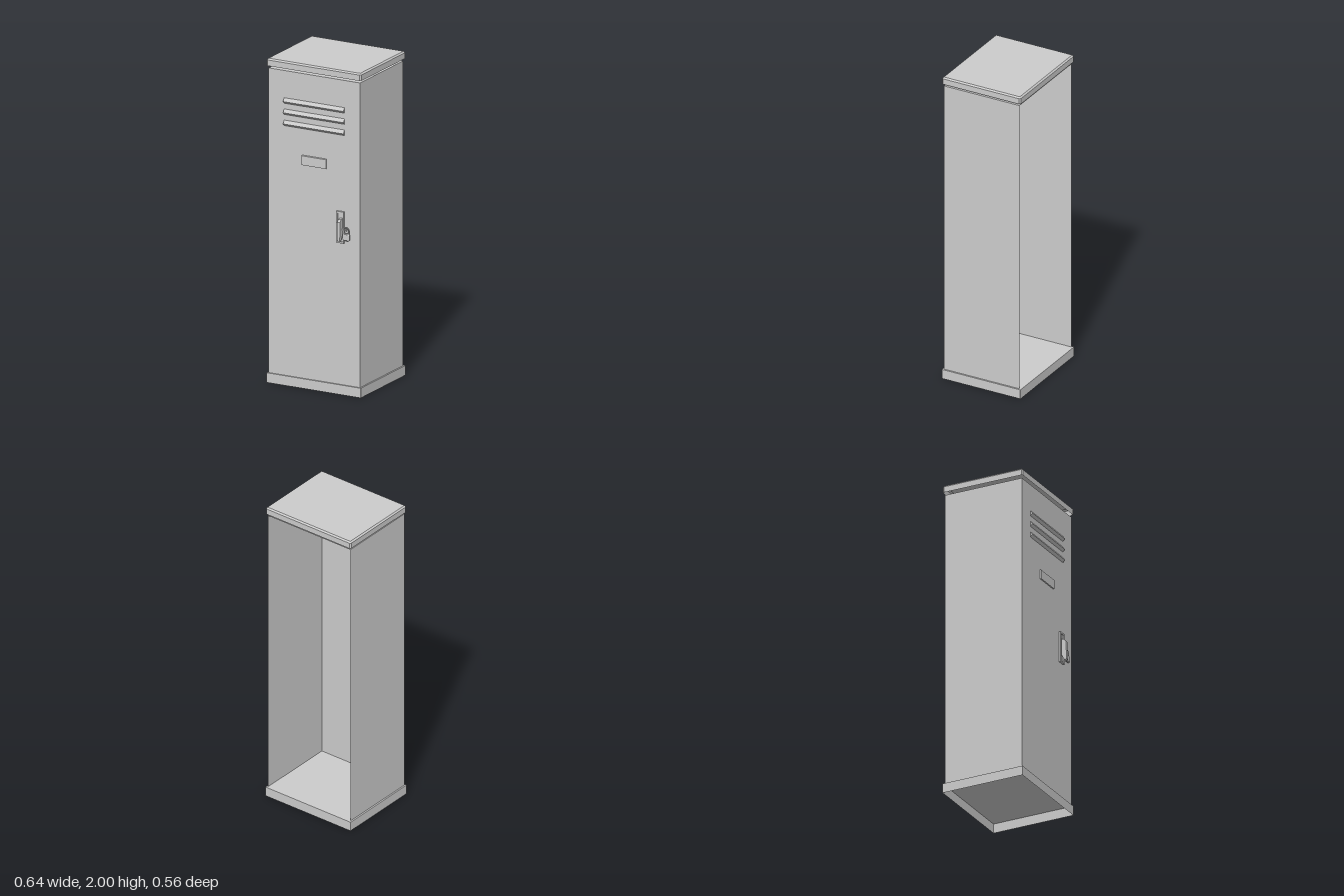
import * as THREE from 'three';

const steel = new THREE.MeshStandardMaterial({ color: 0xcccccc, side: THREE.DoubleSide });
steel.name = 'grey steel';

const FRONT = 0.242, BACK = -0.272, HALF = 0.31;
const LOUVRES = [1.738, 1.669, 1.6];

function add(group, name, geometry, x = 0, y = 0, z = 0) {
  const mesh = new THREE.Mesh(geometry, steel);
  mesh.name = name;
  mesh.position.set(x, y, z);
  group.add(mesh);
  return mesh;
}

// Flat sheet facing +z before it is turned
function sheet(group, name, w, h, x, y, z, rx = 0, ry = 0) {
  add(group, name, new THREE.PlaneGeometry(w, h), x, y, z).rotation.set(rx, ry, 0);
}

// Rectangle with cut corners, as a ring of eight points at height y
function ring(hx, hz, cut, y) {
  const a = hx - cut, b = hz - cut;
  return [[hx, -b], [a, -hz], [-a, -hz], [-hx, -b], [-hx, b], [-a, hz], [a, hz], [hx, b]]
    .map(([x, z]) => new THREE.Vector3(x, y, z));
}

// Faceted skin over stacked rings, closed at the top and optionally at the bottom
function loft(rings, closeBottom = false) {
  const pts = [];
  const n = rings[0].length;
  for (let r = 0; r + 1 < rings.length; r++) {
    for (let i = 0; i < n; i++) {
      const j = (i + 1) % n;
      const [a, b, c, d] = [rings[r][i], rings[r][j], rings[r + 1][j], rings[r + 1][i]];
      pts.push(a, b, c, a, c, d);
    }
  }
  const top = rings[rings.length - 1], bottom = rings[0];
  for (let i = 1; i < n - 1; i++) {
    pts.push(top[0], top[i], top[i + 1]);
    if (closeBottom) pts.push(bottom[0], bottom[i + 1], bottom[i]);
  }
  const g = new THREE.BufferGeometry().setFromPoints(pts);
  g.computeVertexNormals();
  return g;
}

// Side profile given as [z, y] points, extruded across x and centred on it
function across(points, width) {
  const shape = new THREE.Shape(points.map(([z, y]) => new THREE.Vector2(-z, y)));
  const g = new THREE.ExtrudeGeometry(shape, { depth: width, bevelEnabled: false });
  return g.translate(0, 0, -width / 2).rotateY(Math.PI / 2);
}

function rectPath(path, x0, y0, x1, y1) {
  path.moveTo(x0, y0).lineTo(x1, y0).lineTo(x1, y1).lineTo(x0, y1).closePath();
  return path;
}

function buildBody(group) {
  const body = new THREE.Group();
  body.name = 'body';
  group.add(body);
  const depth = FRONT - BACK, midZ = (FRONT + BACK) / 2;
  for (const s of [-1, 1]) {
    sheet(body, s > 0 ? 'leftWall' : 'rightWall', depth, 1.88, s * HALF, 1.0, midZ, 0, s * Math.PI / 2);
  }
  sheet(body, 'ceiling', HALF * 2, depth, 0, 1.94, midZ, -Math.PI / 2);

  // Door panel with a slot behind each louvre
  const door = rectPath(new THREE.Shape(), -HALF, 0.06, HALF, 1.94);
  for (const y of LOUVRES) door.holes.push(rectPath(new THREE.Path(), -0.204, y + 0.001, 0.204, y + 0.033));
  add(body, 'door', new THREE.ShapeGeometry(door), 0, 0, FRONT);

  // Hooded louvres: two sloping strips and triangular ends
  for (const y of LOUVRES) {
    const p = [[0, 0.034], [0.015, 0.014], [0, 0]].map(([z, h]) => [z, h]);
    const hood = new THREE.Group();
    hood.name = 'louvre';
    hood.position.set(0, y, FRONT);
    body.add(hood);
    for (let i = 0; i < 2; i++) {
      const [z0, y0] = p[i], [z1, y1] = p[i + 1];
      const g = new THREE.PlaneGeometry(0.41, Math.hypot(z1 - z0, y1 - y0));
      const strip = add(hood, 'louvreStrip', g, 0, (y0 + y1) / 2, (z0 + z1) / 2);
      strip.rotation.x = Math.atan2(z0 - z1, y0 - y1);
    }
    const end = new THREE.Shape(p.map(([z, h]) => new THREE.Vector2(-z, h)));
    for (const s of [-1, 1]) {
      add(hood, 'louvreEnd', new THREE.ShapeGeometry(end), s * 0.205).rotation.y = Math.PI / 2;
    }
  }
}

function buildLock(group) {
  const latch = new THREE.Group();
  latch.name = 'latch';
  latch.position.z = FRONT;
  group.add(latch);

  // Back plate with a raised rim around the recess
  add(latch, 'latchPlate', new THREE.BoxGeometry(0.05, 0.195, 0.005), 0.18, 1.0325, 0.0025);
  const rim = rectPath(new THREE.Shape(), -0.025, -0.0975, 0.025, 0.0975);
  rim.holes.push(rectPath(new THREE.Path(), -0.017, -0.088, 0.017, 0.088));
  add(latch, 'latchRim', new THREE.ExtrudeGeometry(rim, { depth: 0.012, bevelEnabled: false }), 0.18, 1.0325, 0);

  // Pull handle with slanted ends
  add(latch, 'handle', across([
    [0.005, 1.09], [0.024, 1.085], [0.036, 1.07], [0.04, 0.955], [0.026, 0.95], [0.018, 0.965], [0.005, 0.99],
  ], 0.019), 0.185, 0, 0);

  // Small hasp joining the plate and the padlock
  add(latch, 'hasp', new THREE.BoxGeometry(0.03, 0.012, 0.006), 0.212, 1.022, 0.012);

  // Padlock: faceted body and round shackle
  const body = loft([
    ring(0.018, 0.018, 0.007, -0.007), ring(0.024, 0.023, 0.008, -0.003),
    ring(0.024, 0.023, 0.008, 0.003), ring(0.018, 0.018, 0.007, 0.007),
  ], true).rotateX(Math.PI / 2);
  add(latch, 'padlockBody', body, 0.227, 0.98, 0.018);
  const shackle = new THREE.CatmullRomCurve3([
    [-0.015, 0], [-0.015, 0.022], [-0.01, 0.033], [0, 0.037], [0.01, 0.033], [0.015, 0.022], [0.015, 0],
  ].map(([x, y]) => new THREE.Vector3(x, y, 0)));
  add(latch, 'shackle', new THREE.TubeGeometry(shackle, 14, 0.0038, 6), 0.227, 1.0, 0.016);
}

export function createModel() {
  const model = new THREE.Group();
  model.name = 'locker';
  const trayZ = -0.016;

  // Plinth and lid are hollow trays open underneath
  add(model, 'plinth', loft([ring(0.32, 0.267, 0.001, 0), ring(0.32, 0.267, 0.001, 0.06)]), 0, 0, trayZ);
  add(model, 'lid', loft([
    ring(0.32, 0.267, 0.008, 1.955), ring(0.32, 0.267, 0.008, 1.991), ring(0.311, 0.258, 0.001, 2),
  ]), 0, 0, trayZ);

  buildBody(model);

  // Label holder on the door
  add(model, 'labelHolder', across([[0, 0.03], [0.008, 0.027], [0.008, -0.03], [0, -0.03]], 0.164), 0, 1.407, FRONT);

  buildLock(model);
  return model;
}
